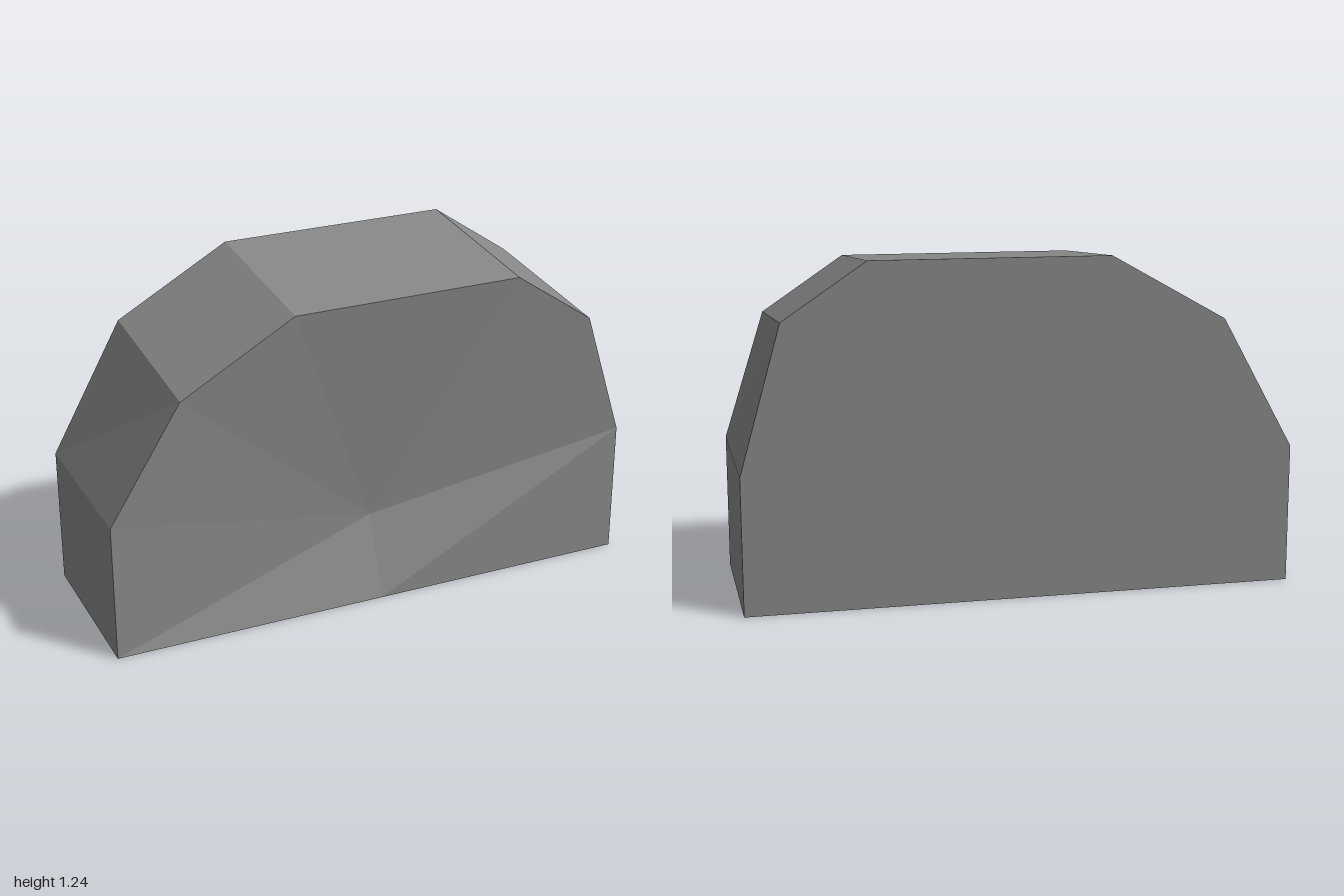
import * as THREE from 'three';

const DEPTH = 0.323; // half depth
const LIFT = 0.062; // the crown rises towards the back

// Front outline, anticlockwise from the bottom: [x, y, rise at the back]
const outline = [
  [-1, 0, 0], [0.02, 0, 0], [1, 0, 0], [1, 0.5, 0],
  [0.85, 0.97, LIFT], [0.548, 1.173, LIFT], [-0.315, 1.166, LIFT], [-0.735, 0.928, LIFT],
  [-1, 0.51, 0],
];
const CORNER = 2; // bottom corner that stays flat, outside the dish
const front = outline.map(([x, y]) => [x, y, DEPTH]);
const back = outline.map(([x, y, rise]) => [x, y + rise, -DEPTH]);

function facetedMesh(name, triangles) {
  const geometry = new THREE.BufferGeometry();
  geometry.setAttribute('position', new THREE.Float32BufferAttribute(triangles.flat(2), 3));
  geometry.computeVertexNormals();
  const mesh = new THREE.Mesh(geometry, new THREE.MeshStandardMaterial({ color: 0x888888, flatShading: true }));
  mesh.name = name;
  return mesh;
}

// Triangles from a centre to each pair of neighbours in a closed loop
const fan = (centre, loop) => loop.map((p, i) => [centre, p, loop[(i + 1) % loop.length]]);

export function createModel() {
  const group = new THREE.Group();
  group.name = 'block';

  // Dished front, with one flat triangle at the bottom corner
  const dish = fan([0.01, 0.305, 0.232], front.filter((_, i) => i !== CORNER));
  dish.push([front[CORNER - 1], front[CORNER], front[CORNER + 1]]);

  // Flat back
  const rear = fan([0, 0.305, -DEPTH], [...back].reverse());

  // Rim around the block, each side split along a diagonal
  const rim = front.flatMap((a, i) => {
    const j = (i + 1) % front.length;
    return [[a, back[j], front[j]], [a, back[i], back[j]]];
  });

  group.add(facetedMesh('dishedFront', dish), facetedMesh('flatBack', rear), facetedMesh('rim', rim));
  return group;
}
